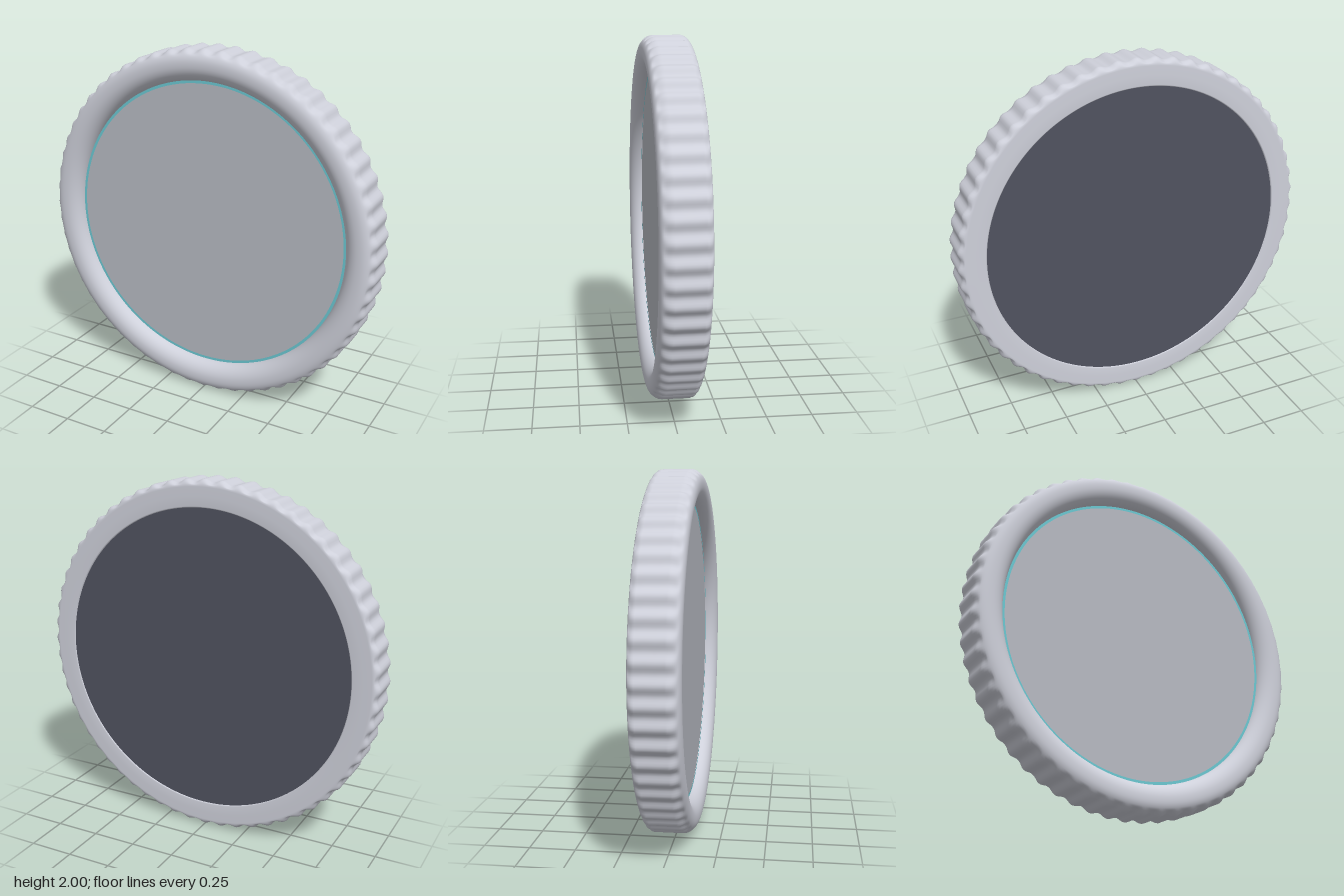
import * as THREE from 'three';
import { mergeVertices } from 'three/addons/utils/BufferGeometryUtils.js';

const mat = (name, color) => {
  const m = new THREE.MeshStandardMaterial({ color });
  m.name = name;
  return m;
};

// Quarter-ellipse points between two angles, as (radius, depth)
function arc(cx, cy, rx, ry, a0, a1, n) {
  const pts = [];
  for (let i = 0; i <= n; i++) {
    const a = a0 + ((a1 - a0) * i) / n;
    pts.push(new THREE.Vector2(cx + rx * Math.cos(a), cy + ry * Math.sin(a)));
  }
  return pts;
}

// Lathe ring with soft ridges pressed into its outer band
function ridgedRing() {
  const H = Math.PI / 2;
  const profile = [
    new THREE.Vector2(0.85, -0.11),
    new THREE.Vector2(0.852, -0.12),
    new THREE.Vector2(0.858, -0.125),
    new THREE.Vector2(0.91, -0.125),
    ...arc(0.96, -0.087, 0.04, 0.038, -H, 0, 7),
    new THREE.Vector2(1, -0.04),
    new THREE.Vector2(1, 0.01),
    ...arc(0.925, 0.055, 0.075, 0.07, 0, H, 10),
    ...arc(0.915, 0.045, 0.09, 0.08, H, Math.PI, 12),
  ];
  const geo = new THREE.LatheGeometry(profile, 480);
  const p = geo.attributes.position;
  for (let i = 0; i < p.count; i++) {
    const x = p.getX(i), y = p.getY(i), z = p.getZ(i);
    const r = Math.hypot(x, z);
    const weight = THREE.MathUtils.smoothstep(r, 0.965, 0.995);
    const ridge = 0.5 - 0.5 * Math.cos(60 * Math.atan2(z, x));
    const k = 1 - (0.017 * weight * ridge) / r;
    p.setXYZ(i, x * k, y, z * k);
  }
  geo.deleteAttribute('uv');
  geo.deleteAttribute('normal');
  const merged = mergeVertices(geo, 1e-5);
  merged.computeVertexNormals();
  return merged.rotateX(H);
}

export function createModel() {
  const group = new THREE.Group();
  group.name = 'ridgedDisc';
  const silver = mat('silver', 0xced0da);
  const glass = mat('paleGlass', 0xb7bac2);
  const dark = mat('darkSlate', 0x50525f);
  const cyan = mat('cyan', 0x6cc8d2);

  const add = (name, geo, material, z) => {
    const mesh = new THREE.Mesh(geo, material);
    mesh.name = name;
    mesh.position.set(0, 1, z);
    group.add(mesh);
    return mesh;
  };

  add('ridgedRim', ridgedRing(), silver, 0);
  // Sunken front pane and its thin accent ring
  add('frontPane', new THREE.CircleGeometry(0.83, 128), glass, 0.052);
  add('accentRing', new THREE.RingGeometry(0.811, 0.828, 128), cyan, 0.056);
  // Back cover, just below the rim
  add('backCover', new THREE.CircleGeometry(0.856, 128).rotateY(Math.PI), dark, -0.118);
  return group;
}
